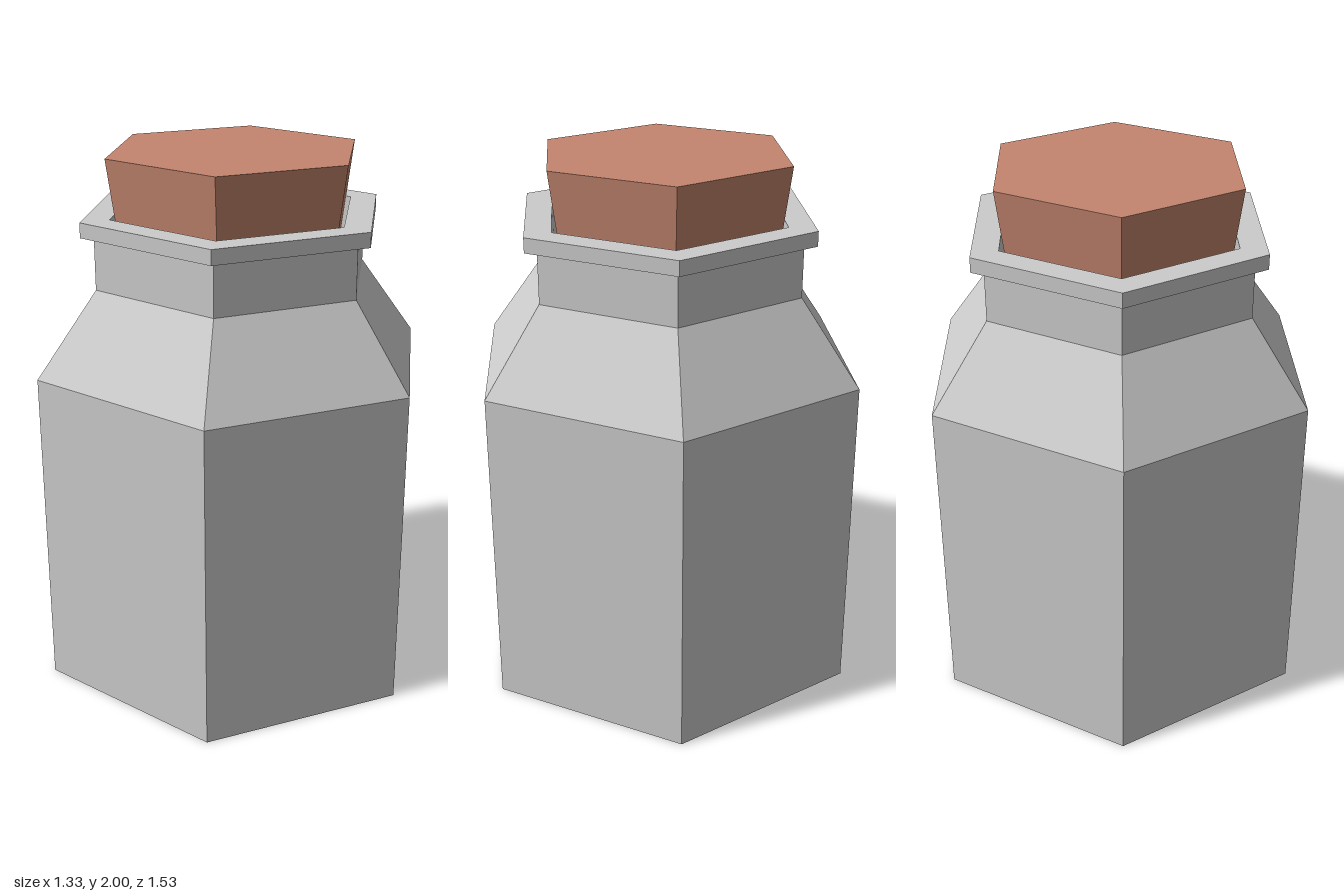
import * as THREE from 'three';

const SIDES = 6;

// Six-sided turned part from [radius, height] pairs, bottom to top, corners on +z and -z
function turned(name, profile, color) {
  const points = profile.map(([r, y]) => new THREE.Vector2(r, y));
  const mesh = new THREE.Mesh(
    new THREE.LatheGeometry(points, SIDES),
    new THREE.MeshStandardMaterial({ color, flatShading: true })
  );
  mesh.name = name;
  return mesh;
}

export function createModel() {
  const group = new THREE.Group();
  group.name = 'corkedJar';

  // Jar: base, straight wall, sloped shoulder, neck, flared lip and recessed mouth
  group.add(turned('jar', [
    [0, 0], [0.767, 0], [0.767, 1.225],
    [0.535, 1.535], [0.535, 1.73],
    [0.585, 1.73], [0.585, 1.785],
    [0.475, 1.785], [0.475, 1.56], [0, 1.56],
  ], 0xcccccc));

  // Tapered stopper sitting in the mouth
  group.add(turned('cork', [
    [0, 1.6], [0.43, 1.6], [0.485, 2], [0, 2],
  ], 0xc4856e));

  return group;
}
